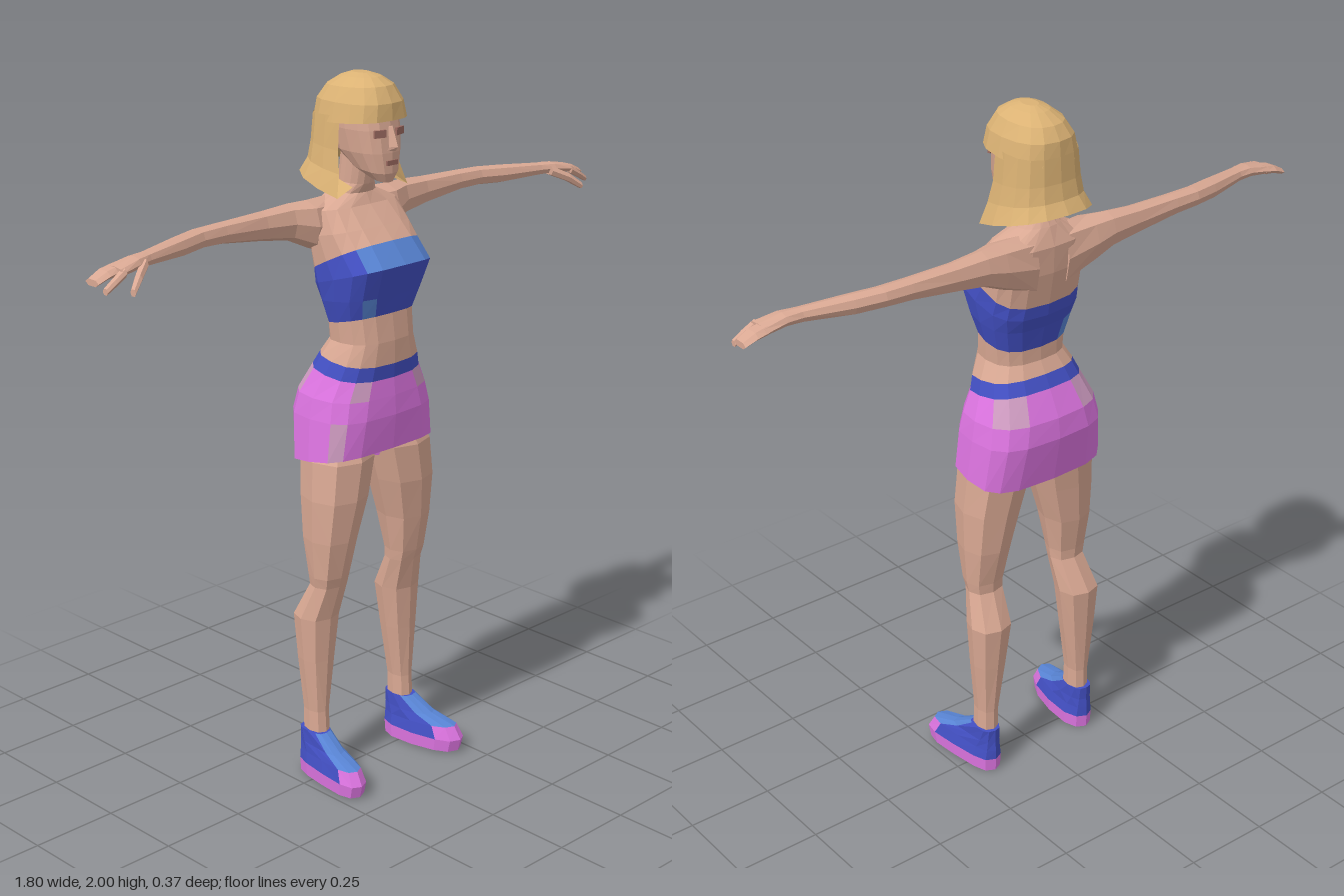
import * as THREE from 'three';

const paint = (name, color, extra = {}) => {
  const m = new THREE.MeshStandardMaterial({ color, ...extra });
  m.name = name;
  return m;
};

// Signed power: squares off an ellipse when e < 1
const pw = (v, e) => Math.sign(v) * Math.pow(Math.abs(v), e);

// Horizontal ring, starting at the front; yF and yB let it tilt
function hoop(n, yF, yB, xIn, xOut, zF, zB, e = 0.8) {
  return Array.from({ length: n }, (_, j) => {
    const a = (j / n) * Math.PI * 2;
    const s = pw(Math.sin(a), e), c = pw(Math.cos(a), e);
    return new THREE.Vector3(
      (xIn + xOut) / 2 + (xOut - xIn) / 2 * s,
      (yF + yB) / 2 + (yF - yB) / 2 * c,
      (zF + zB) / 2 + (zF - zB) / 2 * c);
  });
}

// Upright ring across the arm at a given x
function cuff(n, x, yTop, yBot, zF, zB, e = 0.85) {
  return Array.from({ length: n }, (_, j) => {
    const a = (j / n) * Math.PI * 2;
    return new THREE.Vector3(x,
      (yTop + yBot) / 2 - (yTop - yBot) / 2 * pw(Math.sin(a), e),
      (zF + zB) / 2 + (zF - zB) / 2 * pw(Math.cos(a), e));
  });
}

// Skin rings into a faceted mesh. pick(row, face) gives a material index, or -1 for a gap.
function loft(name, rings, mats, { pick = () => 0, side = 1, caps = true } = {}) {
  const list = [].concat(mats), buckets = list.map(() => []);
  const tri = (b, p, q, r) => {
    for (const v of side > 0 ? [p, q, r] : [p, r, q]) b.push(v.x * side, v.y, v.z);
  };
  const n = rings[0].length;
  for (let i = 0; i < rings.length - 1; i++) {
    for (let j = 0; j < n; j++) {
      const m = pick(i, j), k = (j + 1) % n;
      if (m < 0) continue;
      tri(buckets[m], rings[i][j], rings[i][k], rings[i + 1][k]);
      tri(buckets[m], rings[i][j], rings[i + 1][k], rings[i + 1][j]);
    }
  }
  if (caps) {
    for (const [ring, up] of [[rings[0], false], [rings[rings.length - 1], true]]) {
      const c = ring.reduce((s, v) => s.add(v), new THREE.Vector3()).divideScalar(n);
      ring.forEach((v, j) => {
        const w = ring[(j + 1) % n];
        up ? tri(buckets[0], c, v, w) : tri(buckets[0], c, w, v);
      });
    }
  }
  const g = new THREE.BufferGeometry();
  let start = 0;
  buckets.forEach((b, m) => {
    g.addGroup(start, b.length / 3, m);
    start += b.length / 3;
  });
  g.setAttribute('position', new THREE.Float32BufferAttribute(buckets.flat(), 3));
  g.computeVertexNormals();
  const mesh = new THREE.Mesh(g, list);
  mesh.name = name;
  return mesh;
}

export function createModel() {
  const skin = paint('skin', 0xd9a893);
  const shade = paint('face shade', 0x9c6a60);
  const hair = paint('blond hair', 0xdbb274, { side: THREE.DoubleSide });
  const blue = paint('blue cloth', 0x4350c4);
  const sky = paint('light blue cloth', 0x5884d4);
  const pink = paint('pink cloth', 0xdc74e0);
  const mauve = paint('mauve pocket', 0xcf9cc2);

  const model = new THREE.Group();
  model.name = 'figure';
  const add = (...a) => model.add(loft(...a));

  // Torso bands: [front y, back y, half width, front z, back z, squareness]
  const N = 16;
  const band = rows => rows.map(([f, b, r, zf, zb, e]) => hoop(N, f, b, -r, r, zf, zb, e));
  const waistLow = [1.185, 1.215, 0.157, 0.107, -0.11, 0.75];
  const waistTop = [1.225, 1.25, 0.143, 0.11, -0.09, 0.75];
  const braLow = [1.365, 1.325, 0.122, 0.1, -0.07, 0.75];
  const braTop = [1.565, 1.465, 0.147, 0.1, -0.105, 0.7];
  add('shorts', band([
    [0.98, 0.945, 0.21, 0.105, -0.13, 0.6],
    [1.08, 1.08, 0.197, 0.115, -0.155, 0.65],
    [1.135, 1.14, 0.186, 0.112, -0.148, 0.72],
    waistLow]), [pink, mauve], {
    pick: (i, j) => {
      const f = Math.min(j, 15 - j);
      return (i === 0 && f === 2) || (i === 2 && [1, 5, 6].includes(f)) ? 1 : 0;
    },
  });
  add('shortsGusset', [
    hoop(6, 0.945, 0.94, -0.022, 0.022, 0.05, -0.08),
    hoop(6, 1, 1, -0.06, 0.06, 0.08, -0.1)], pink);
  add('waistband', band([waistLow, waistTop]), blue);
  add('midriff', band([waistTop, [1.29, 1.285, 0.118, 0.11, -0.07, 0.75], braLow]), skin);
  add('top', band([braLow,
    [1.42, 1.39, 0.138, 0.118, -0.085, 0.7],
    [1.507, 1.43, 0.148, 0.15, -0.1, 0.65],
    braTop]), [blue, sky], {
    pick: (i, j) => ((i === 2 && (j < 2 || j > 13)) || (i === 0 && (j === 9 || j === 14)) ? 1 : 0),
  });
  add('chestAndNeck', band([braTop,
    [1.6, 1.56, 0.15, 0.065, -0.122, 0.75],
    [1.65, 1.635, 0.14, 0.015, -0.125, 0.75],
    [1.68, 1.685, 0.065, 0, -0.105, 0.9],
    [1.705, 1.71, 0.046, 0.012, -0.09, 0.95],
    [1.79, 1.79, 0.045, 0.03, -0.08, 0.95]]), skin);

  // Head
  add('head', band([
    [1.72, 1.735, 0.028, 0.088, 0.02, 0.8],
    [1.745, 1.76, 0.05, 0.097, -0.03, 0.8],
    [1.8, 1.8, 0.068, 0.097, -0.08, 0.8],
    [1.86, 1.86, 0.076, 0.092, -0.1, 0.8],
    [1.93, 1.93, 0.075, 0.08, -0.11, 0.8]]), skin);
  add('nose', [
    hoop(4, 1.806, 1.806, -0.016, 0.016, 0.108, 0.08, 1),
    hoop(4, 1.818, 1.816, -0.014, 0.014, 0.118, 0.08, 1),
    hoop(4, 1.87, 1.87, -0.007, 0.007, 0.098, 0.08, 1)], skin);
  const plate = (name, w, h, x, y, z, turn = 0) => {
    const m = new THREE.Mesh(new THREE.BoxGeometry(w, h, 0.008), shade);
    m.name = name;
    m.position.set(x, y, z);
    m.rotation.y = turn;
    model.add(m);
  };
  plate('mouth', 0.04, 0.013, 0, 1.774, 0.095);
  for (const s of [1, -1]) plate('eye', 0.036, 0.02, s * 0.036, 1.853, 0.087, s * 0.25);

  // Hair: a cap with a fringe, and a bob open at the face
  add('hairCap', band([
    [1.885, 1.87, 0.106, 0.098, -0.148, 0.75],
    [1.93, 1.93, 0.095, 0.095, -0.143, 0.8],
    [1.972, 1.965, 0.074, 0.072, -0.12, 0.85],
    [1.992, 1.99, 0.045, 0.04, -0.08, 0.9],
    [2, 2, 0.02, 0.01, -0.05, 1]]), hair);
  add('hairBob', band([
    [1.69, 1.76, 0.085, 0.08, -0.11, 0.8],
    [1.665, 1.742, 0.14, 0.1, -0.182, 0.8],
    [1.735, 1.775, 0.12, 0.075, -0.16, 0.8],
    [1.8, 1.82, 0.111, 0.055, -0.151, 0.8],
    [1.9, 1.89, 0.103, 0.05, -0.147, 0.8]]), hair,
  { caps: false, pick: (i, j) => (j < 3 || j > 12 ? -1 : 0) });

  for (const side of [1, -1]) {
    // Leg: [y, inner x, outer x, front z, back z]
    add('leg', [
      [0.12, 0.14, 0.198, 0.01, -0.07],
      [0.2, 0.14, 0.197, 0.005, -0.07],
      [0.36, 0.117, 0.212, 0.012, -0.085],
      [0.49, 0.1, 0.22, 0.02, -0.097],
      [0.59, 0.095, 0.2, 0.043, -0.045],
      [0.62, 0.093, 0.205, 0.052, -0.047],
      [0.73, 0.075, 0.212, 0.075, -0.07],
      [0.85, 0.042, 0.213, 0.093, -0.085],
      [0.96, 0.015, 0.203, 0.094, -0.1],
      [1.04, 0.02, 0.16, 0.06, -0.08],
    ].map(([y, a, b, f, k]) => hoop(8, y, y, a, b, f, k, 0.8)), skin, { side });

    // Shoe: rings bend outward towards the toe
    const last = rows => rows.map(([yf, yb, r, f, k]) => {
      const ring = hoop(12, yf, yb, 0.172 - r, 0.172 + r, f, k, 0.75);
      ring.forEach(v => { v.x += 0.16 * Math.max(0, v.z); });
      return ring;
    });
    const welt = [0.042, 0.04, 0.047, 0.187, -0.083];
    add('shoeSole', last([[0.006, 0, 0.045, 0.178, -0.08], welt]), pink, { side });
    add('shoeUpper', last([welt,
      [0.08, 0.07, 0.04, 0.165, -0.083],
      [0.1, 0.1, 0.035, 0.085, -0.08],
      [0.138, 0.14, 0.032, 0.015, -0.08]]), [blue, pink, sky], {
      side,
      pick: (i, j) => (j < 2 || j > 9 ? (i === 0 ? 1 : 2) : 0),
    });

    // Arm and palm: [x, top y, bottom y, front z, back z]
    add('arm', [
      [0.05, 1.672, 1.5, -0.03, -0.127],
      [0.15, 1.67, 1.54, -0.02, -0.13],
      [0.21, 1.668, 1.568, -0.045, -0.127],
      [0.3, 1.662, 1.582, -0.056, -0.122],
      [0.44, 1.658, 1.6, -0.057, -0.117],
      [0.52, 1.656, 1.603, -0.053, -0.113],
      [0.6, 1.652, 1.6, -0.035, -0.095],
      [0.73, 1.643, 1.607, -0.01, -0.058],
      [0.775, 1.641, 1.608, 0.004, -0.056],
      [0.84, 1.628, 1.602, 0.016, -0.06],
    ].map(r => cuff(8, ...r)), skin, { side });

    // Joined fingers, forefinger and thumb droop towards the tips
    add('fingers', [
      cuff(6, 0.83, 1.63, 1.602, -0.004, -0.06),
      cuff(6, 0.865, 1.622, 1.598, -0.002, -0.062),
      cuff(6, 0.9, 1.605, 1.586, -0.006, -0.058)], skin, { side });
    add('forefinger', [
      cuff(6, 0.83, 1.627, 1.602, 0.018, -0.008),
      cuff(6, 0.865, 1.606, 1.585, 0.021, -0.003),
      cuff(6, 0.893, 1.588, 1.57, 0.02, 0)], skin, { side });
    add('thumb', [
      cuff(6, 0.755, 1.635, 1.606, 0.008, -0.025),
      cuff(6, 0.8, 1.612, 1.585, 0.038, 0.008),
      cuff(6, 0.835, 1.582, 1.562, 0.055, 0.033)], skin, { side });
  }
  return model;
}
